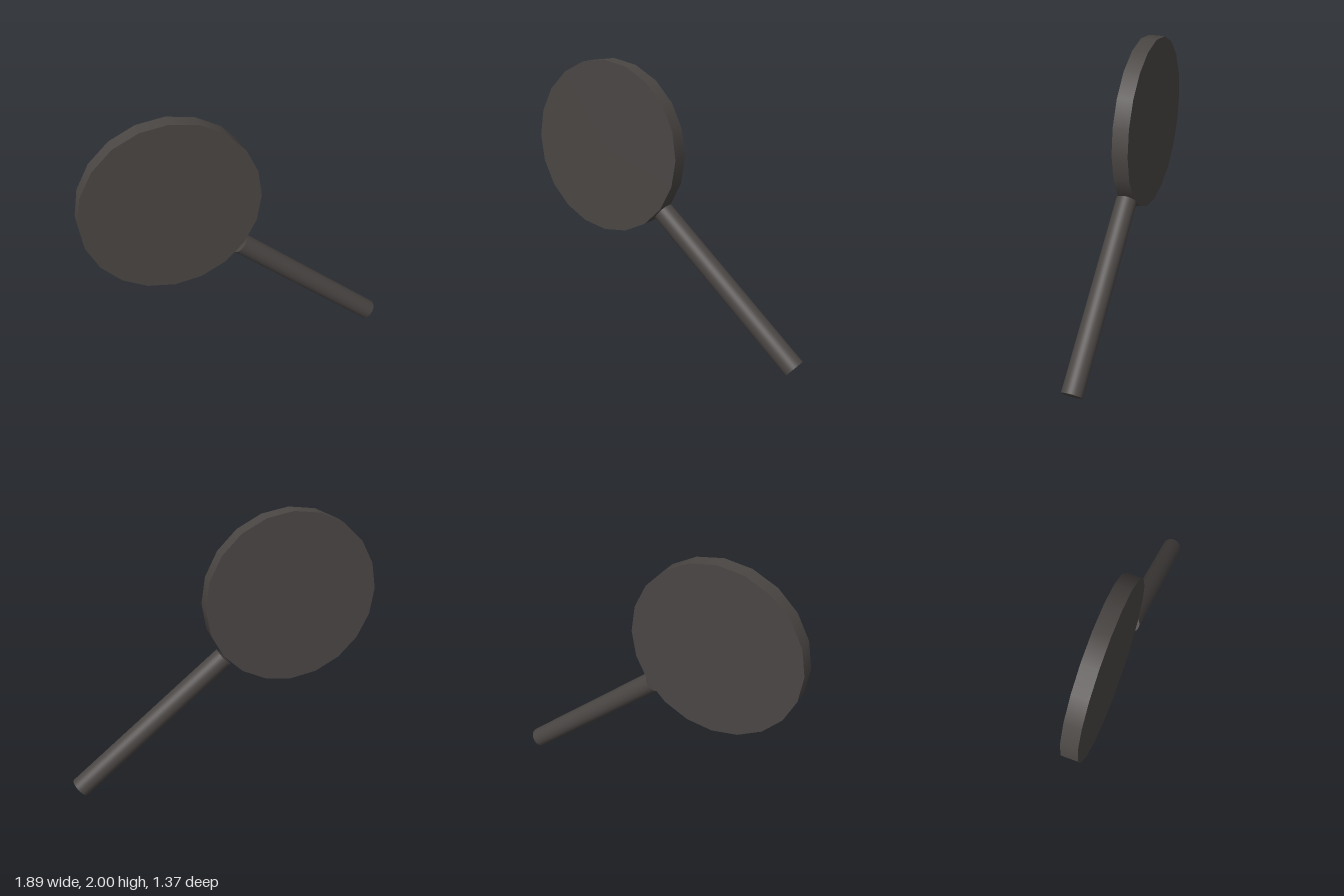
import * as THREE from 'three';

export function createModel() {
  const model = new THREE.Group();
  model.name = 'paddle';
  const darkGrey = new THREE.MeshStandardMaterial({ color: 0x4a4644 });
  darkGrey.name = 'darkGrey';

  // Everything is built in one upright plane, then turned about y
  const turned = new THREE.Group();
  turned.name = 'turnedPaddle';
  turned.rotation.y = THREE.MathUtils.degToRad(35);
  model.add(turned);

  // Round flat head with a 20-sided rim
  const headGeometry = new THREE.CylinderGeometry(0.628, 0.628, 0.115, 20);
  headGeometry.rotateX(Math.PI / 2).rotateZ(THREE.MathUtils.degToRad(-1));
  const head = new THREE.Mesh(headGeometry, darkGrey);
  head.name = 'head';
  head.position.set(-0.485, 1.375, 0);
  turned.add(head);

  // Straight round handle running down from the rim
  const top = new THREE.Vector3(0, 0.962, 0);
  const end = new THREE.Vector3(1.08, 0.058, 0);
  const axis = top.clone().sub(end);
  const handle = new THREE.Mesh(new THREE.CylinderGeometry(0.075, 0.075, axis.length(), 32), darkGrey);
  handle.name = 'handle';
  handle.position.copy(top).add(end).multiplyScalar(0.5);
  handle.quaternion.setFromUnitVectors(new THREE.Vector3(0, 1, 0), axis.normalize());
  turned.add(handle);

  return model;
}
